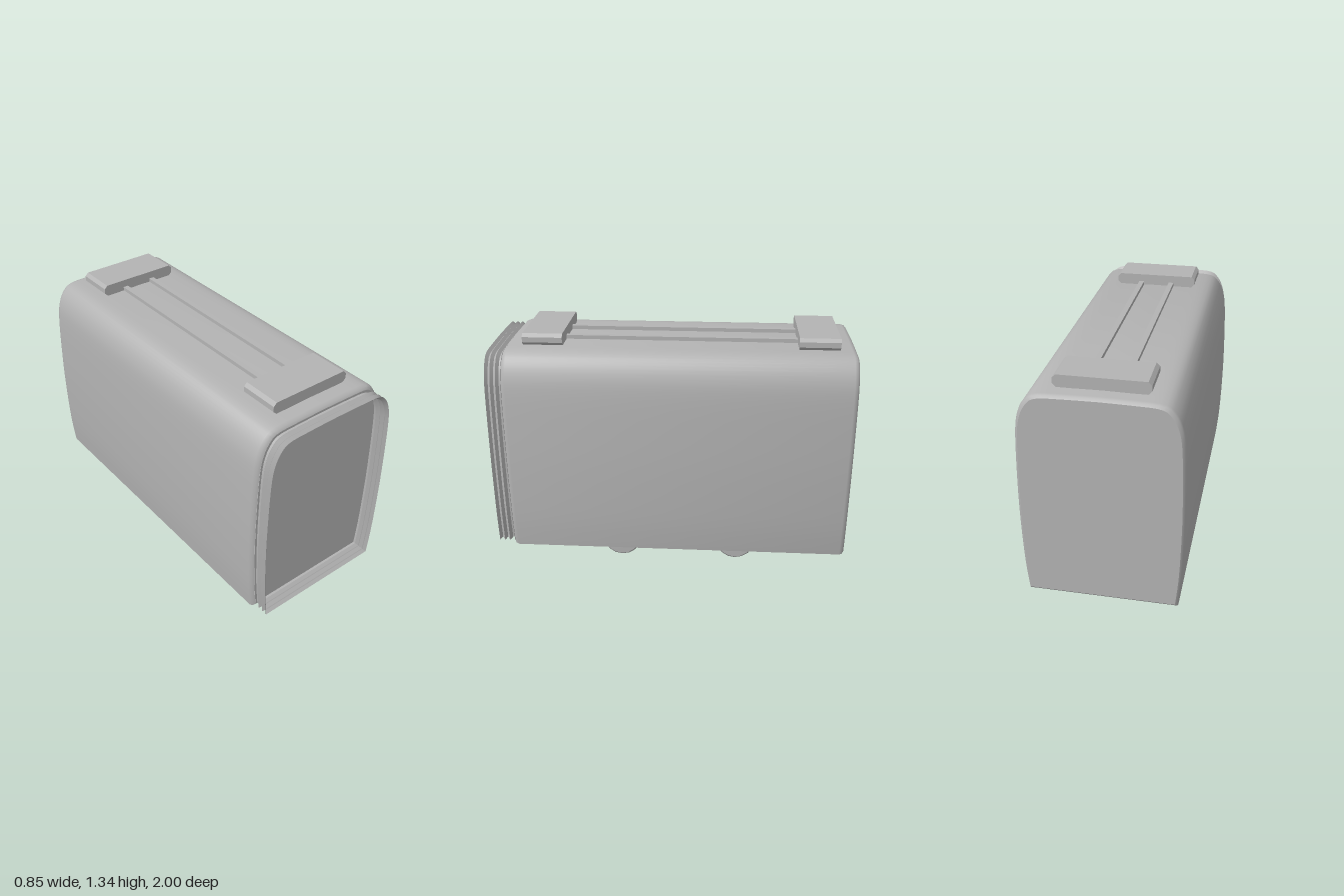
import * as THREE from 'three';
import { toCreasedNormals } from 'three/addons/utils/BufferGeometryUtils.js';

const MID_Y = 0.695;

// Half of the case outline, from the bottom corner up to the crown, then mirrored
function outline(inset = 0) {
  const half = new THREE.SplineCurve([
    [0.398, 0.11], [0.415, 0.3], [0.424, 0.6], [0.422, 0.85], [0.414, 1.06],
    [0.398, 1.16], [0.364, 1.23], [0.31, 1.269], [0.18, 1.277], [0, 1.28],
  ].map(([x, y]) => new THREE.Vector2(x, y))).getPoints(30);
  const mirrored = half.slice(0, -1).reverse().map(p => new THREE.Vector2(-p.x, p.y));
  const sx = (0.424 - inset) / 0.424, sy = (0.585 - inset) / 0.585;
  return [...half, ...mirrored].map(p => new THREE.Vector2(p.x * sx, MID_Y + (p.y - MID_Y) * sy));
}

// Skin through rings given as [z, inset], back to front
function loft(rings, crease) {
  const positions = [], index = [];
  let n = 0;
  for (const [z, inset] of rings) {
    const pts = outline(inset);
    n = pts.length;
    pts.forEach(p => positions.push(p.x, p.y, z));
  }
  for (let r = 0; r < rings.length - 1; r++) {
    for (let j = 0; j < n; j++) {
      const a = r * n + j, b = r * n + (j + 1) % n;
      index.push(a, b, a + n, b, b + n, a + n);
    }
  }
  const g = new THREE.BufferGeometry();
  g.setAttribute('position', new THREE.Float32BufferAttribute(positions, 3));
  g.setIndex(index);
  return toCreasedNormals(g, crease);
}

export function createModel() {
  const model = new THREE.Group();
  const grey = new THREE.MeshStandardMaterial({ color: 0xb4b4b4, side: THREE.DoubleSide });
  grey.name = 'grey';

  const add = (name, geometry, x = 0, y = 0, z = 0) => {
    const mesh = new THREE.Mesh(geometry, grey);
    mesh.name = name;
    mesh.position.set(x, y, z);
    model.add(mesh);
    return mesh;
  };
  const endPanel = inset => new THREE.ShapeGeometry(new THREE.Shape(outline(inset)));

  // Main shell with softened ends
  add('body', loft([[-1, 0.016], [-0.99, 0.004], [-0.975, 0], [0.885, 0], [0.902, 0.006], [0.91, 0.018]], 0.7));
  add('backPanel', endPanel(0.016), 0, 0, -1).rotation.y = Math.PI;
  add('frontPanel', endPanel(0.018), 0, 0, 0.912);

  // Open pleated collar around the recessed front panel
  const pleats = [[0.91, 0.03]];
  for (let i = 0; i < 6; i++) pleats.push([0.925 + i * 0.015, i % 2 ? 0.015 : 0.03]);
  add('bellows', loft(pleats, 0.6));

  // Roof pads with chamfered long edges
  const w = 0.24, h = 0.065, c = 0.018;
  const padShape = new THREE.Shape([
    [-w + c, 0], [w - c, 0], [w, c], [w, h - c], [w - c, h], [-w + c, h], [-w, h - c], [-w, c],
  ].map(p => new THREE.Vector2(...p)));
  const padGeometry = new THREE.ExtrudeGeometry(padShape, { depth: 0.22, bevelEnabled: false });
  add('frontRoofPad', padGeometry, 0, 1.278, 0.595);
  add('rearRoofPad', padGeometry, 0, 1.278, -0.91);

  // Twin rails between the pads
  for (const x of [-0.095, 0.09]) {
    add('roofRail', new THREE.BoxGeometry(0.03, 0.035, 1.3), x, 1.2825, -0.045);
  }

  // Domed wheels, half sunk in the floor, joined by thin axles
  const wheelProfile = [
    [0, -0.025], [0.065, -0.022], [0.09, -0.01], [0.104, 0], [0.11, 0.012], [0.1, 0.022], [0, 0.025],
  ].map(p => new THREE.Vector2(...p));
  const wheelGeometry = toCreasedNormals(new THREE.LatheGeometry(wheelProfile, 16), 0.7);
  for (const z of [0.29, -0.38]) {
    for (const x of [-0.28, 0.278]) {
      add('wheel', wheelGeometry, x, 0.11, z).rotation.z = -Math.PI / 2;
    }
    add('axle', new THREE.CylinderGeometry(0.009, 0.009, 0.54, 8), 0, 0.108, z).rotation.z = Math.PI / 2;
    add('axlePlate', new THREE.BoxGeometry(0.68, 0.014, 0.03), 0, 0.112, z);
  }
  return model;
}
